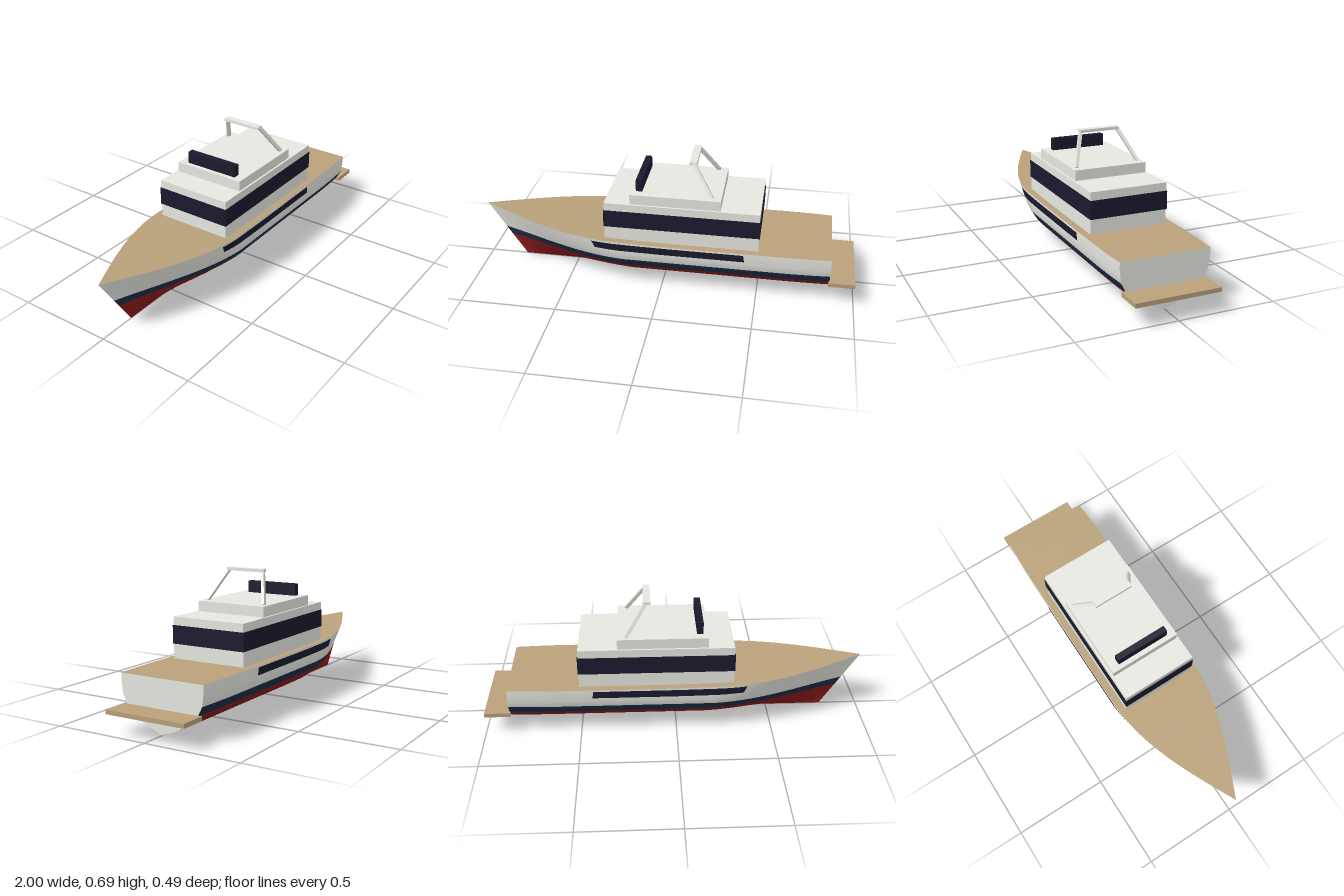
import * as THREE from 'three';

const mat = (name, color) => {
  const m = new THREE.MeshStandardMaterial({ color });
  m.name = name;
  return m;
};

// Hull section: height and share of the half beam
const SECTION = [[0, 0], [0.02, 0.22], [0.04, 0.42], [0.07, 0.65], [0.095, 0.77], [0.12, 0.865],
  [0.165, 0.965], [0.2, 0.985], [0.235, 1], [0.265, 1]];
const STERN = 0.87;
const lerp = THREE.MathUtils.lerp;

const sheer = u => 0.265 + 0.04 * Math.max(0, 1 - u / 0.55) ** 1.7;
const halfBeam = u => 0.24 * Math.sin(Math.PI / 2 * Math.min(1, u / 0.4))
  - 0.01 * Math.max(0, (u - 0.85) / 0.15) ** 2;

function fullness(y) {
  for (let k = 1; k < SECTION.length; k++) {
    const [y0, f0] = SECTION[k - 1], [y1, f1] = SECTION[k];
    if (y <= y1) return lerp(f0, f1, (y - y0) / (y1 - y0));
  }
  return 1;
}

// Point on the hull skin: u runs bow to stern, side is +1 or -1
function hullPoint(u, y, side, out = 0) {
  const bowX = -0.8 - 0.2 * y / 0.305;
  const flare = 0.6 * Math.max(0, 1 - u / 0.4);
  const f = lerp(fullness(y), Math.min(1, y / sheer(u)), flare);
  return [lerp(bowX, STERN, u), y, side * (halfBeam(u) * f + out)];
}
const rowHeight = (j, u) => {
  const y = SECTION[j][0];
  return y <= 0.165 ? y : lerp(0.165, sheer(u), (y - 0.165) / 0.1);
};

// Smooth surface from a grid of points; bands gives a material index per row
function grid(ni, nj, point, bands) {
  const pos = [], idx = [], geo = new THREE.BufferGeometry();
  for (let j = 0; j <= nj; j++) for (let i = 0; i <= ni; i++) pos.push(...point(i, j));
  for (let j = 0; j < nj; j++) {
    for (let i = 0; i < ni; i++) {
      const a = j * (ni + 1) + i, d = a + ni + 1;
      idx.push(a, a + 1, d + 1, a, d + 1, d);
    }
    if (bands) geo.addGroup(j * ni * 6, ni * 6, bands(j));
  }
  geo.setAttribute('position', new THREE.Float32BufferAttribute(pos, 3));
  geo.setIndex(idx);
  geo.computeVertexNormals();
  return geo;
}

export function createModel() {
  const model = new THREE.Group();
  model.name = 'motorYacht';
  const white = mat('white paint', 0xeeeee8);
  const teak = mat('teak', 0xb9a17a);
  const red = mat('red bottom paint', 0x8b1a1a);
  const navy = mat('navy stripe', 0x1a2d48);
  const glass = mat('dark glass', 0x1a1a2e);

  const add = (name, geo, material, parent = model) => {
    const mesh = new THREE.Mesh(geo, material);
    mesh.name = name;
    parent.add(mesh);
    return mesh;
  };
  // Box from its limits along x and y, and its half width in z
  const box = (name, x0, x1, y0, y1, hz, material) => {
    const mesh = add(name, new THREE.BoxGeometry(x1 - x0, y1 - y0, hz * 2), material);
    mesh.position.set((x0 + x1) / 2, (y0 + y1) / 2, 0);
  };

  // Hull sides, banded red, navy and white, with a window strip each
  const N = 64, rows = SECTION.length - 1;
  for (const side of [1, -1]) {
    const label = side > 0 ? 'Front' : 'Back';
    const along = t => side > 0 ? t : 1 - t;
    add('hullSide' + label, grid(N, rows, (i, j) => {
      const u = along(i / N);
      return hullPoint(u, rowHeight(j, u), side);
    }, j => j < 5 ? 0 : j < 6 ? 1 : 2), [red, navy, white]);
    add('hullWindow' + label, grid(30, 2, (i, j) => {
      const u = lerp(0.33, 0.759, along(i / 30));
      const y = lerp(0.218, 0.257, j / 2) + (sheer(u) - 0.265) * 0.7;
      return hullPoint(u, y, side, 0.003);
    }), glass);
  }

  // Deck and transom
  add('deck', grid(2, N, (i, j) => {
    const u = j / N, [x, y, z] = hullPoint(u, sheer(u), 1);
    return [x, y, z * (i - 1)];
  }), teak);
  add('transom', grid(rows, 2, (i, j) => {
    const [x, y, z] = hullPoint(1, rowHeight(i, 1), 1);
    return [x, y, z * (j - 1)];
  }), white);
  box('swimPlatform', 0.865, 1, 0.1, 0.122, 0.217, teak);

  // Cabin, window band, upper deck and windscreen
  box('cabin', -0.298, 0.5, 0.262, 0.475, 0.202, white);
  box('cabinWindows', -0.302, 0.504, 0.34, 0.433, 0.205, glass);
  box('upperDeck', -0.165, 0.3, 0.475, 0.528, 0.192, white);
  box('windscreen', -0.14, -0.107, 0.528, 0.59, 0.145, glass);

  // Radar arch: raked legs and a crossbeam
  box('archBeam', 0.127, 0.165, 0.677, 0.692, 0.105, white);
  for (const side of [1, -1]) {
    const foot = new THREE.Vector3(0.255, 0.528, side * 0.168);
    const head = new THREE.Vector3(0.15, 0.684, side * 0.1);
    const dir = head.clone().sub(foot);
    const leg = add('archLeg' + (side > 0 ? 'Front' : 'Back'),
      new THREE.BoxGeometry(0.018, dir.length(), 0.016), white);
    leg.position.copy(foot).add(head).multiplyScalar(0.5);
    leg.quaternion.setFromUnitVectors(new THREE.Vector3(0, 1, 0), dir.normalize());
  }
  return model;
}
